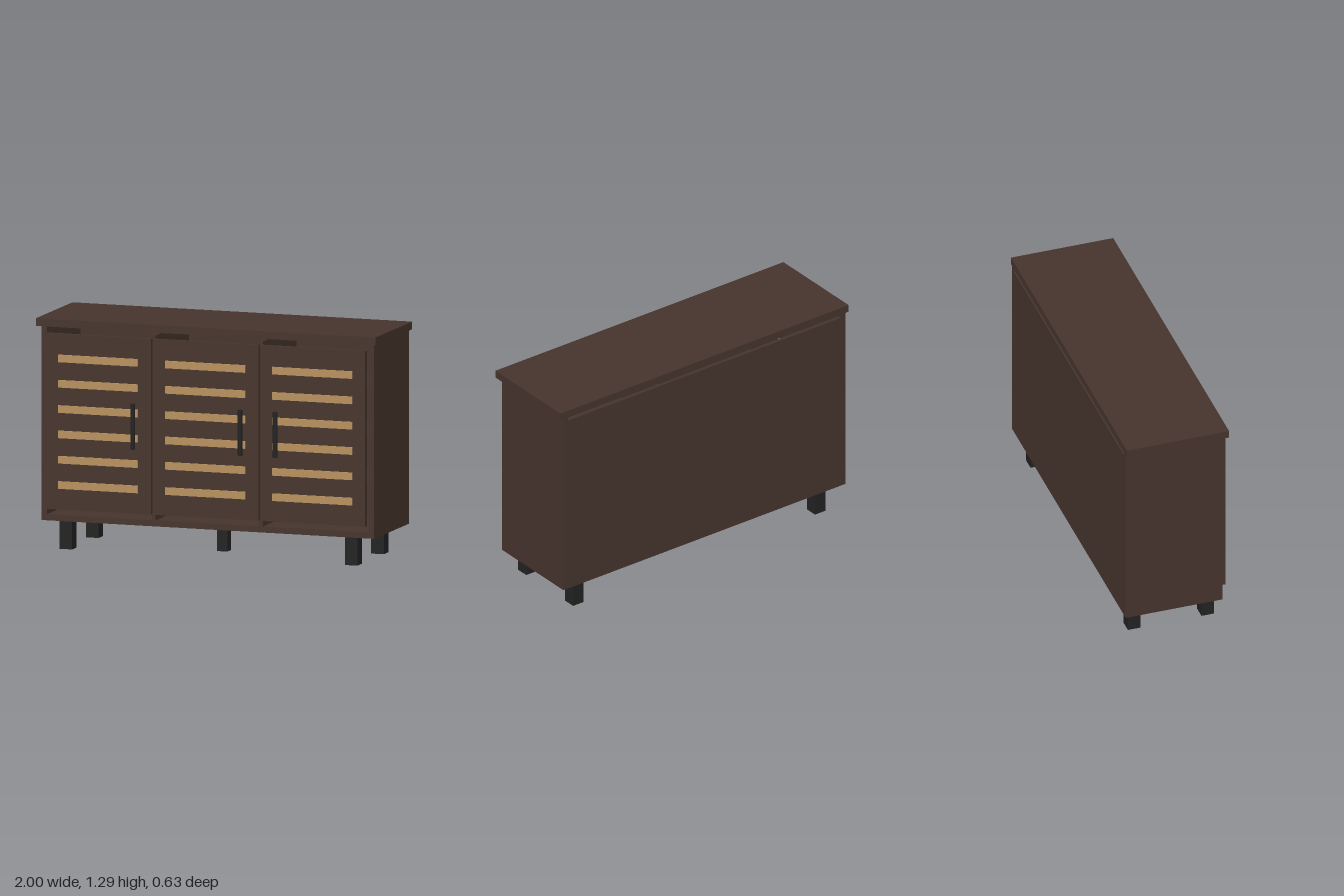
import * as THREE from 'three';

const wood = new THREE.MeshStandardMaterial({ color: 0x46342d });
wood.name = 'darkWood';
const slatWood = new THREE.MeshStandardMaterial({ color: 0xb9915e });
slatWood.name = 'lightWood';
const black = new THREE.MeshStandardMaterial({ color: 0x222222 });
black.name = 'blackMetal';

// Box given by its lower and upper bounds on each axis
function box(parent, name, material, [x0, x1], [y0, y1], [z0, z1]) {
  const mesh = new THREE.Mesh(new THREE.BoxGeometry(x1 - x0, y1 - y0, z1 - z0), material);
  mesh.position.set((x0 + x1) / 2, (y0 + y1) / 2, (z0 + z1) / 2);
  mesh.name = name;
  parent.add(mesh);
  return mesh;
}

export function createModel() {
  const cabinet = new THREE.Group();
  cabinet.name = 'sideboard';

  // Carcass: the back and dividers stop short of the top, leaving a slit
  const back = -0.315, front = 0.25, inner = 0.947;
  box(cabinet, 'top', wood, [-1, 1], [1.25, 1.293], [back, 0.283]);
  box(cabinet, 'bottomPanel', wood, [-inner, inner], [0.158, 0.192], [back, front]);
  box(cabinet, 'backPanel', wood, [-inner, inner], [0.192, 1.23], [back, back + 0.02]);
  box(cabinet, 'leftSide', wood, [inner, 0.98], [0.158, 1.25], [back, front]);
  box(cabinet, 'rightSide', wood, [-0.98, -inner], [0.158, 1.25], [back, front]);
  for (const x of [-0.317, 0.314]) {
    box(cabinet, 'divider', wood, [x - 0.011, x + 0.011], [0.192, 1.23], [back + 0.02, front]);
  }

  // Inner shelves
  const shelves = [[-inner, -0.328, [0.7]], [-0.306, 0.303, [0.7]], [0.325, inner, [0.455, 0.72, 0.99]]];
  for (const [x0, x1, heights] of shelves) {
    for (const y of heights) box(cabinet, 'shelf', wood, [x0, x1], [y - 0.01, y + 0.01], [back + 0.02, 0.24]);
  }

  // Three doors, each with six slats and an upright bar handle
  for (const [x, handleX] of [[-0.632, -0.422], [0, 0.209], [0.63, 0.416]]) {
    const door = new THREE.Group();
    door.name = 'door';
    box(door, 'doorPanel', wood, [x - 0.31, x + 0.31], [0.228, 1.213], [0.257, 0.283]);
    for (let i = 0; i < 6; i++) {
      const y = 0.366 + i * 0.142;
      box(door, 'slat', slatWood, [x - 0.235, x + 0.235], [y - 0.021, y + 0.021], [0.283, 0.292]);
    }
    const handle = new THREE.Mesh(new THREE.CylinderGeometry(0.0135, 0.0135, 0.255, 16), black);
    handle.name = 'handle';
    handle.position.set(handleX, 0.719, 0.302);
    door.add(handle);
    cabinet.add(door);
  }

  // Four corner legs and a slimmer one in the middle
  for (const x of [-0.84, 0.84]) {
    for (const z of [0.2, -0.23]) {
      box(cabinet, 'cornerLeg', black, [x - 0.037, x + 0.037], [0, 0.158], [z - 0.037, z + 0.037]);
    }
  }
  box(cabinet, 'middleLeg', black, [-0.031, 0.031], [0, 0.158], [-0.046, 0.016]);

  return cabinet;
}
